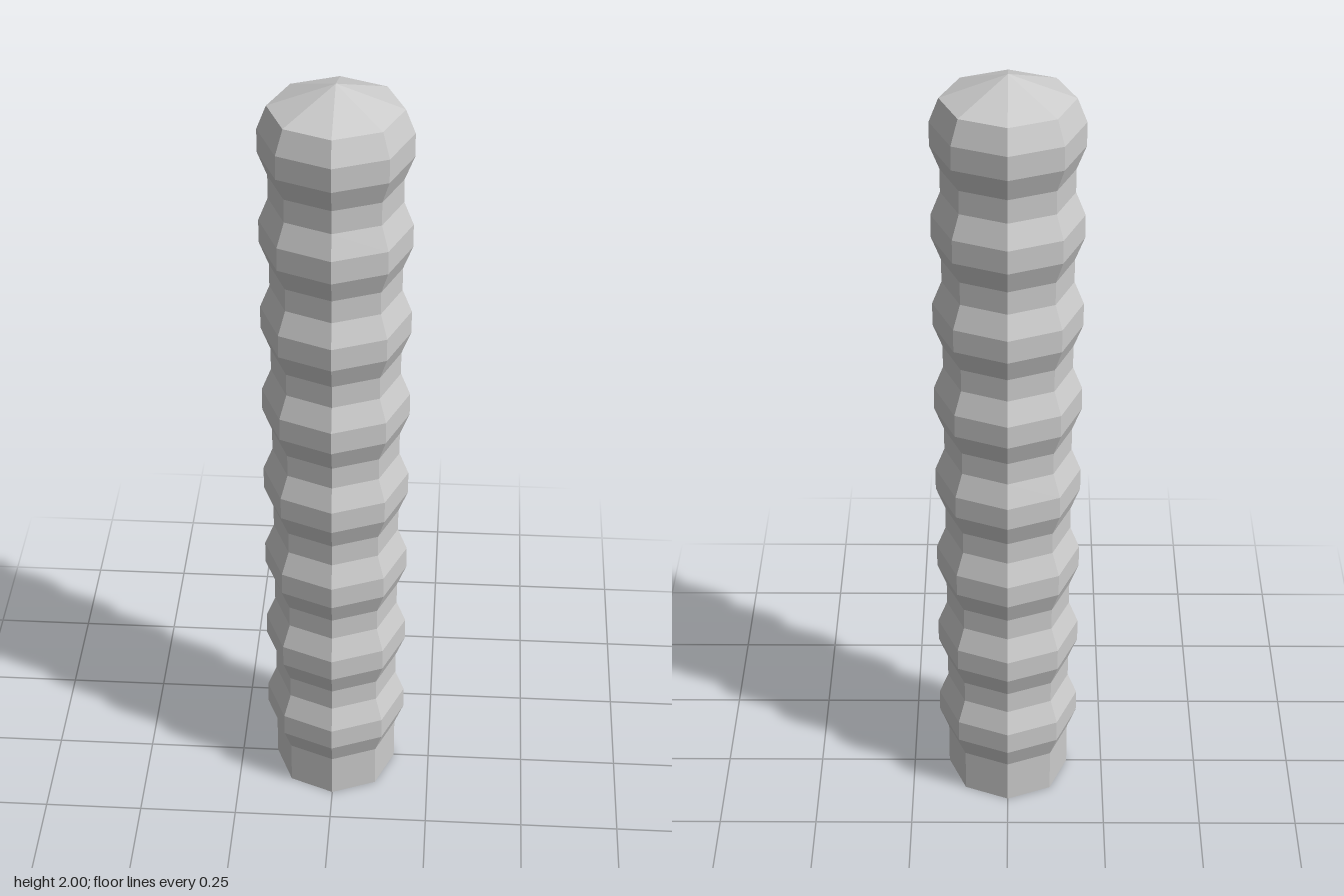
import * as THREE from 'three';

const SIDES = 8;
const RIBS = 8;
const STEP = 2 / 34; // height of one band; each rib repeats every four bands
const NARROW = 0.157;
const WIDE = 0.18;

export function createModel() {
  const group = new THREE.Group();
  group.name = 'ribbedPost';

  // Closed base with a plain foot two bands tall
  const profile = [new THREE.Vector2(0, 0), new THREE.Vector2(NARROW, 0)];

  // Stacked ribs: narrow, wide, wide, narrow
  for (let i = 0; i < RIBS; i++) {
    const y = STEP * (2 + 4 * i);
    [NARROW, WIDE, WIDE, NARROW].forEach((r, k) => profile.push(new THREE.Vector2(r, y + k * STEP)));
  }

  // Low pointed cap
  profile.push(new THREE.Vector2(0, 2));

  const material = new THREE.MeshStandardMaterial({ color: 0xcccccc, flatShading: true });
  const post = new THREE.Mesh(new THREE.LatheGeometry(profile, SIDES), material);
  post.name = 'post';
  group.add(post);
  return group;
}
